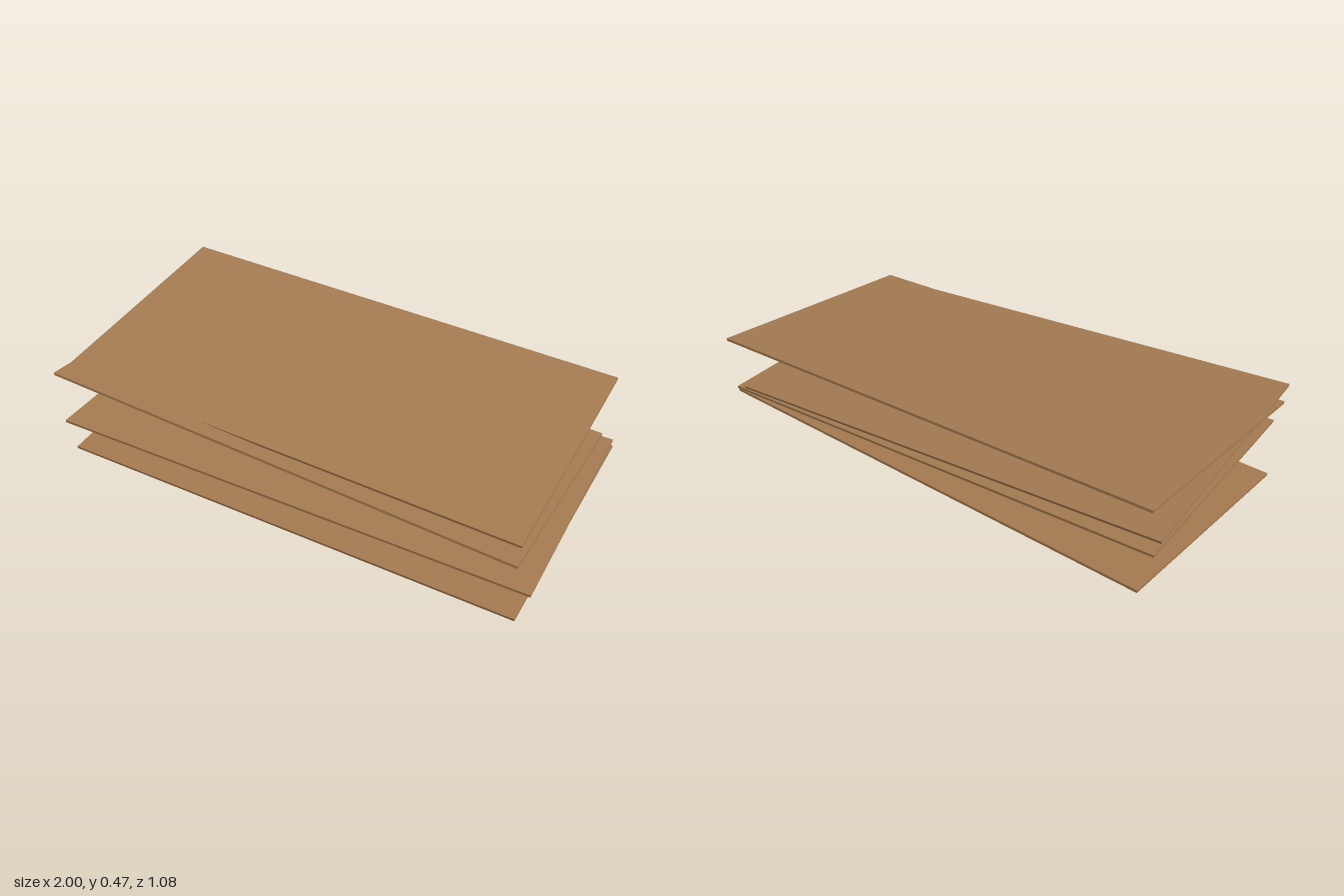
import * as THREE from 'three';

const THICKNESS = 0.01;

// A thin board placed by the mid-plane positions of three of its corners.
function makeBoard(name, backLeft, backRight, frontRight, material) {
  const bl = new THREE.Vector3(...backLeft);
  const br = new THREE.Vector3(...backRight);
  const fr = new THREE.Vector3(...frontRight);
  const across = br.clone().sub(bl);
  const along = fr.clone().sub(br);

  const board = new THREE.Mesh(
    new THREE.BoxGeometry(across.length(), THICKNESS, along.length()),
    material
  );
  const xAxis = across.normalize();
  const yAxis = along.clone().cross(xAxis).normalize();
  const zAxis = xAxis.clone().cross(yAxis);
  board.quaternion.setFromRotationMatrix(new THREE.Matrix4().makeBasis(xAxis, yAxis, zAxis));
  board.position.copy(bl).add(fr).multiplyScalar(0.5);
  board.name = name;
  return board;
}

export function createModel() {
  const group = new THREE.Group();
  group.name = 'boardStack';
  const cardboard = new THREE.MeshStandardMaterial({ color: 0xa67c52 });
  cardboard.name = 'cardboard brown';

  // Loosely stacked boards, lowest first: back left, back right, front right
  const boards = [
    ['bottomBoard', [-0.955, 0.104, -0.49], [0.96, 0.12, -0.49], [0.96, 0.022, 0.467]],
    ['lowerBoard', [-0.96, 0.2, -0.41], [0.955, 0.14, -0.5], [0.998, 0.139, 0.45]],
    ['upperBoard', [-0.998, 0.298, -0.44], [0.91, 0.155, -0.497], [0.945, 0.249, 0.458]],
    ['topBoard', [-0.997, 0.465, -0.51], [0.92, 0.396, -0.543], [0.935, 0.293, 0.407]],
  ];
  for (const [name, bl, br, fr] of boards) group.add(makeBoard(name, bl, br, fr, cardboard));
  return group;
}
